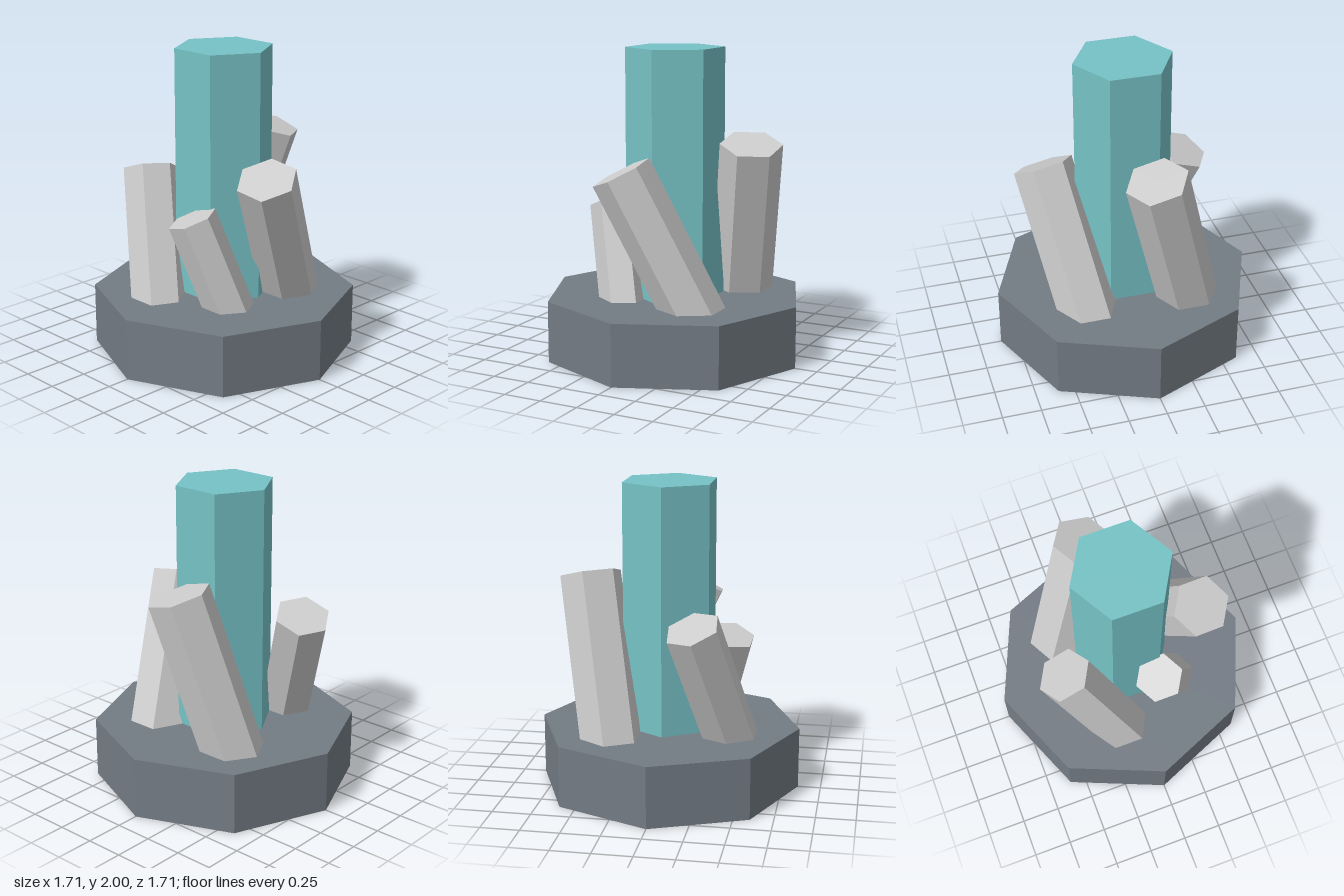
import * as THREE from 'three';

const material = (color) => new THREE.MeshStandardMaterial({ color, flatShading: true });
const stone = material(0x737b84);
const teal = material(0x76c2c6);
const grey = material(0xcccccc);

// Hexagonal prism hung from the centre of its top face and tilted in degrees;
// its root is sunk into the base.
function crystal(name, mat, radius, top, tiltX = 0, tiltZ = 0) {
  const rx = THREE.MathUtils.degToRad(tiltX);
  const rz = THREE.MathUtils.degToRad(tiltZ);
  const length = (top[1] - 0.2) / (Math.cos(rx) * Math.cos(rz));
  const geometry = new THREE.CylinderGeometry(radius, radius, length, 6);
  geometry.translate(0, -length / 2, 0);
  const mesh = new THREE.Mesh(geometry, mat);
  mesh.name = name;
  mesh.position.set(...top);
  mesh.rotation.set(rx, 0, rz, 'ZXY');
  return mesh;
}

export function createModel() {
  const group = new THREE.Group();
  group.name = 'crystalCluster';

  // Octagonal stone base
  const base = new THREE.Mesh(new THREE.CylinderGeometry(0.853, 0.853, 0.4, 8), stone);
  base.name = 'base';
  base.position.y = 0.2;
  group.add(base);

  // Upright main crystal with four leaning ones around it
  group.add(
    crystal('mainCrystal', teal, 0.318, [0, 2, 0]),
    crystal('leftCrystal', grey, 0.201, [0.503, 1.4, -0.07], 15, -10),
    crystal('frontCrystal', grey, 0.195, [-0.122, 1.257, 0.494], 10, 25),
    crystal('backCrystal', grey, 0.181, [-0.218, 1.16, -0.464], -20, -15),
    crystal('smallCrystal', grey, 0.158, [-0.39, 0.98, 0.113], -15, 15),
  );
  return group;
}
